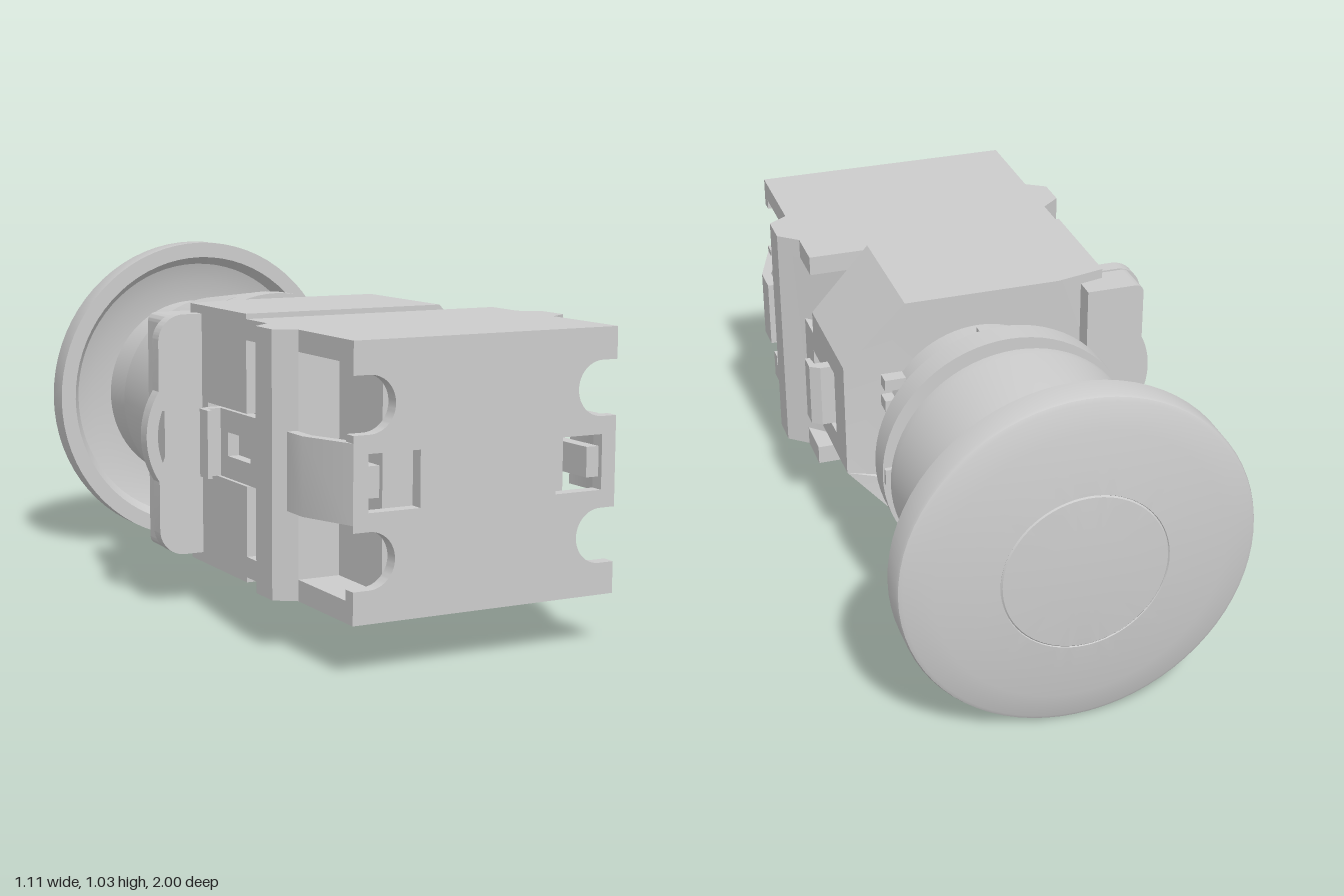
import * as THREE from 'three';
import { toCreasedNormals } from 'three/addons/utils/BufferGeometryUtils.js';

const CX = 0.035, CY = 0.515; // axis of the round parts and mirror plane

export function createModel() {
  const model = new THREE.Group();
  const mat = new THREE.MeshStandardMaterial({ color: 0xcccccc });

  const add = (name, geo) => {
    const mesh = new THREE.Mesh(toCreasedNormals(geo, 0.45), mat);
    mesh.name = name;
    model.add(mesh);
    return mesh;
  };
  const shapeOf = (pts) => new THREE.Shape(pts.map(([a, b]) => new THREE.Vector2(a, b)));
  const extrude = (shape, depth) =>
    new THREE.ExtrudeGeometry(shape, { depth, bevelEnabled: false, curveSegments: 16 });
  // Outline in x,y pushed along z
  const alongZ = (shape, z0, z1) => extrude(shape, z1 - z0).translate(0, 0, z0);
  // Outline in x,z pushed along y
  const alongY = (pts, y0, y1) =>
    extrude(shapeOf(pts.map(([x, z]) => [x, -z])), y1 - y0).rotateX(-Math.PI / 2).translate(0, y0, 0);
  // Outline in z,y pushed along x
  const alongX = (shape, x0, x1) => extrude(shape, x1 - x0).rotateY(Math.PI / 2).translate(x0, 0, 0);
  const box = (x0, x1, y0, y1, z0, z1) =>
    new THREE.BoxGeometry(x1 - x0, y1 - y0, z1 - z0).translate((x0 + x1) / 2, (y0 + y1) / 2, (z0 + z1) / 2);
  const rect = (x0, x1, y0, y1) => [[x0, y0], [x1, y0], [x1, y1], [x0, y1]];
  // Half widths mirrored into a full plan outline
  const symmetric = (half) => [
    ...half.map(([w, z]) => [CX + w, z]),
    ...half.slice().reverse().map(([w, z]) => [CX - w, z]),
  ];
  // Turned part: pairs of radius and distance towards the back
  const turned = (name, pts) =>
    add(name, new THREE.LatheGeometry(pts.map(([r, d]) => new THREE.Vector2(r, d)), 72)
      .rotateX(-Math.PI / 2).translate(CX, CY, 0));

  // Mushroom head with hollow underside, and the turned parts below it
  turned('mushroomHead', [
    [0.31, 0.93], [0.38, 0.922], [0.44, 0.9], [0.465, 0.86], [0.515, 0.86], [0.515, 0.938], [0.511, 0.947],
    [0.5, 0.953], [0.42, 0.968], [0.33, 0.982], [0.242, 0.991], [0.24, 0.988], [0.236, 0.992], [0.12, 0.998], [0, 1],
  ]);
  turned('neck', [[0.31, 0.73], [0.31, 0.935]]);
  turned('taperedSleeve', [[0.27, 0.4], [0.375, 0.4], [0.375, 0.43], [0.337, 0.74], [0.3, 0.74]]);
  turned('sealRing', [[0.27, 0.27], [0.385, 0.27], [0.385, 0.35], [0.27, 0.35]]);
  turned('lockNut', [[0.27, 0.2], [0.335, 0.2], [0.335, 0.275]]);
  turned('barrel', [[0.28, 0.03], [0.28, 0.41]]);
  add('keyTab', box(0.055, 0.085, 0.83, 0.87, -0.275, -0.2));
  add('sideTab', box(0.38, 0.415, 0.49, 0.54, -0.365, -0.33));
  for (const dy of [-0.14, -0.07, 0.07, 0.14])
    add('barrelTooth', box(0.27, 0.335, CY + dy - 0.018, CY + dy + 0.018, -0.085, -0.03));

  // Housing: rear part with sloping back corners
  const outline = [
    [-0.375, 0.13], [-0.22, 0.13], [0.26, 0.13], [0.445, 0.335],
    [0.445, 0.7], [0.26, 0.905], [-0.22, 0.905], [-0.375, 0.905],
  ];
  const rear = alongZ(shapeOf(outline), -0.055, 0.1);
  const pos = rear.attributes.position;
  for (let i = 0; i < pos.count; i++)
    if (pos.getZ(i) < 0 && Math.abs(pos.getX(i) - CX) > 0.4) pos.setZ(i, -0.02);
  rear.computeVertexNormals();
  add('housingRear', rear);

  // Housing: front part with a pocket in each side for the latch arms
  const pocketed = outline.slice();
  pocketed.push([-0.375, 0.62], [-0.32, 0.62], [-0.32, 0.41], [-0.375, 0.41]);
  pocketed.splice(4, 0, [0.445, 0.41], [0.39, 0.41], [0.39, 0.62], [0.445, 0.62]);
  add('housingFront', alongZ(shapeOf(pocketed), 0.1, 0.365));

  // Contact block: top and bottom plates, and the narrower core between them
  const plate = symmetric([[0.41, 0.365], [0.41, 0.5], [0.47, 0.55], [0.47, 0.65], [0.41, 0.69], [0.41, 1]]);
  add('bottomPlate', alongY(plate, 0.145, 0.205));
  add('topPlate', alongY(plate, 0.83, 0.89));
  add('blockCore', alongY(symmetric([
    [0.26, 0.36], [0.41, 0.5], [0.47, 0.55], [0.47, 0.65], [0.41, 0.69], [0.285, 0.69], [0.285, 0.93],
  ]), 0.2, 0.835));

  // Front face with four rounded screw notches and two windows
  const L = CX - 0.41, R = CX + 0.41, n = 0.0775;
  const face = new THREE.Shape();
  face.moveTo(L, 0.145).lineTo(R, 0.145);
  for (const y of [0.3125, 0.7225])
    face.lineTo(R, y - n).lineTo(R - 0.0475, y - n)
      .absarc(R - 0.0475, y, n, -Math.PI / 2, -Math.PI * 1.5, true).lineTo(R, y + n);
  face.lineTo(R, 0.89).lineTo(L, 0.89);
  for (const y of [0.7225, 0.3125])
    face.lineTo(L, y + n).lineTo(L + 0.0475, y + n)
      .absarc(L + 0.0475, y, n, Math.PI / 2, -Math.PI / 2, true).lineTo(L, y - n);
  for (const [a, b] of [[-0.33, -0.175], [0.25, 0.4]])
    face.holes.push(shapeOf(rect(a, b, 0.44, 0.595)));
  add('frontFace', alongZ(face, 0.96, 1));

  // Spring clips and latch arms, one of each per side
  for (const s of [1, -1]) {
    const side = (pts) => pts.map(([w, z]) => [CX + s * w, z]);
    add('springClip', alongY(side([
      [0.41, 1], [0.47, 0.83], [0.47, 0.74], [0.44, 0.74], [0.44, 0.825], [0.385, 0.965], [0.385, 1],
    ]), 0.41, 0.625));
    add('clipHook', alongY(side([
      [0.325, 0.985], [0.365, 0.985], [0.365, 0.78], [0.325, 0.82],
    ]), 0.475, 0.56));
    add('latchHook', alongY(side([
      [0.35, 0.155], [0.44, 0.155], [0.47, 0.175], [0.47, 0.23], [0.455, 0.23], [0.45, 0.19], [0.35, 0.19],
    ]), 0.415, 0.615));

    const arm = shapeOf(rect(-0.51, -0.18, 0.415, 0.615));
    arm.holes.push(shapeOf(rect(-0.39, -0.24, 0.48, 0.55)));
    const x = CX + s * 0.39;
    add('latchArm', alongX(arm, x - 0.02, x + 0.015));
  }

  // Locking lever: upright bar and a rounded plate with a bulged finger loop
  const bar = new THREE.Shape();
  bar.moveTo(-0.3, 0.165).lineTo(-0.45, 0.165).quadraticCurveTo(-0.48, 0.165, -0.48, 0.195)
    .lineTo(-0.48, 0.845).quadraticCurveTo(-0.48, 0.875, -0.45, 0.875).lineTo(-0.3, 0.875);
  add('leverBar', alongZ(bar, -0.1, 0.02));

  const r = 0.248, cx = -0.555 + r, a = Math.asin(0.135 / r);
  const lever = new THREE.Shape();
  lever.moveTo(-0.34, 0.16).lineTo(-0.435, 0.16).absarc(-0.435, 0.24, 0.08, -Math.PI / 2, -Math.PI, true)
    .absarc(cx, 0.52, r, -Math.PI + a, -Math.PI - a, true)
    .absarc(-0.435, 0.8, 0.08, Math.PI, Math.PI / 2, true).lineTo(-0.34, 0.88);
  const loop = new THREE.Path();
  const b = Math.asin(0.0775 / 0.212);
  loop.moveTo(-0.44, 0.4425).absarc(cx, 0.52, 0.212, -Math.PI + b, -Math.PI - b, true).lineTo(-0.44, 0.5975);
  lever.holes.push(loop);
  add('leverPlate', alongZ(lever, 0.015, 0.06));

  return model;
}
